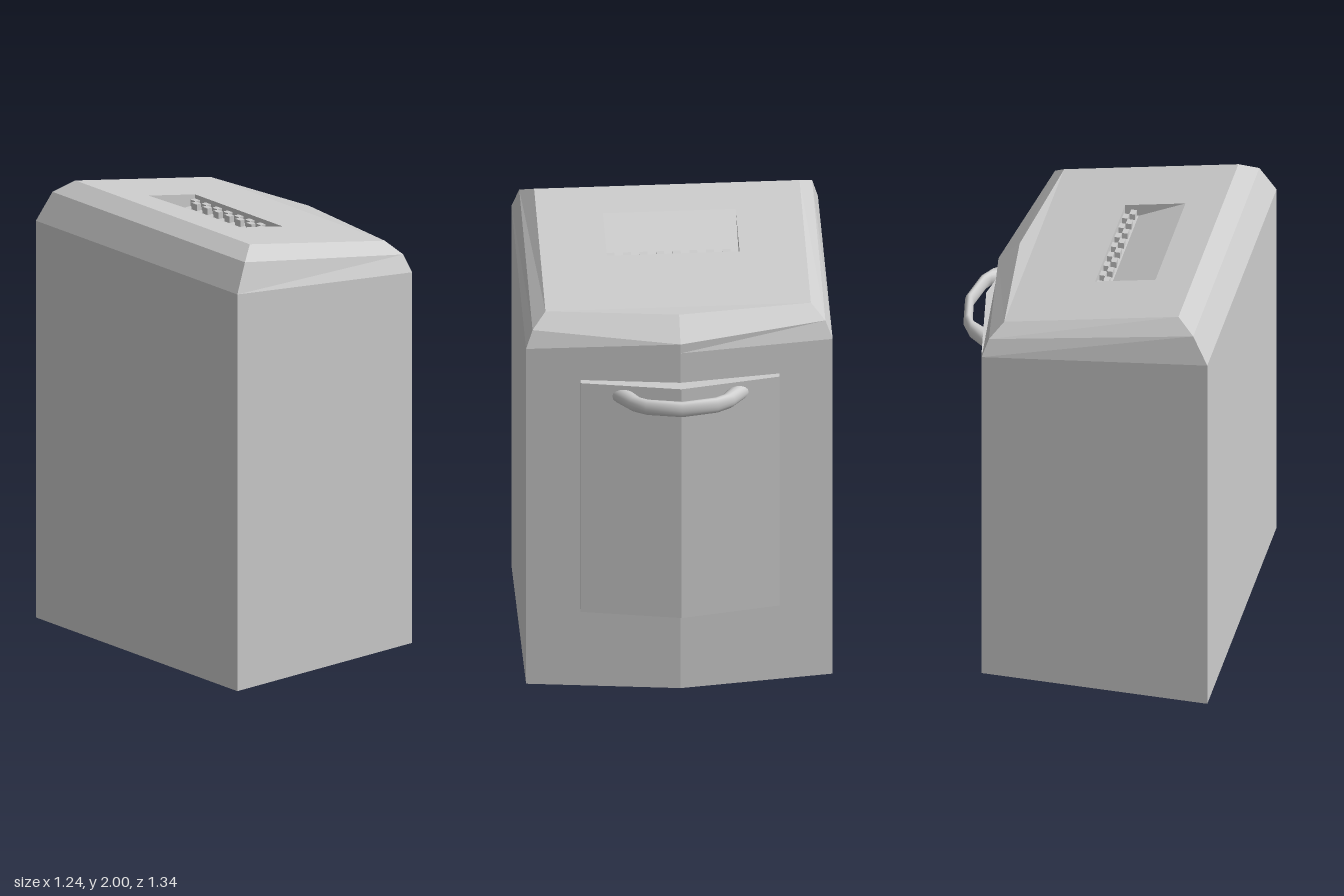
import * as THREE from 'three';

const grey = new THREE.MeshStandardMaterial({ color: 0xcccccc, flatShading: true, side: THREE.DoubleSide });
const smooth = new THREE.MeshStandardMaterial({ color: 0xcccccc, side: THREE.DoubleSide });

// Height of the sloping lid at a given x
const lidY = (x) => (x > 0.31 ? 1.845 : 2 - 0.1987 * (x + 0.47));

// Flat-shaded mesh from convex polygons, each a list of [x, y, z] corners
function polyMesh(name, polys) {
  const pos = [];
  for (const p of polys)
    for (let i = 1; i < p.length - 1; i++) pos.push(...p[0], ...p[i], ...p[i + 1]);
  const geo = new THREE.BufferGeometry();
  geo.setAttribute('position', new THREE.Float32BufferAttribute(pos, 3));
  geo.computeVertexNormals();
  const mesh = new THREE.Mesh(geo, grey);
  mesh.name = name;
  return mesh;
}

// Five-cornered ring: front corner, front middle, front corner, back, back
const ring = (fx, fy, mx, my, bx, by, z) => [
  [fx, fy, z], [mx, my, 0], [fx, fy, -z], [bx, by, -z], [bx, by, z],
];

function makeBody() {
  const rings = [
    ring(0.39, 0, 0.47, 0, -0.62, 0, 0.67),
    ring(0.39, 1.705, 0.47, 1.705, -0.62, 1.825, 0.67),
    ring(0.365, 1.785, 0.47, 1.75, -0.55, 1.95, 0.64),
    ring(0.31, 1.845, 0.375, 1.845, -0.47, 2, 0.58),
  ];
  const polys = [[...rings[0]].reverse()];
  for (let r = 0; r < rings.length - 1; r++)
    for (let i = 0; i < 5; i++) {
      const j = (i + 1) % 5;
      polys.push([rings[r][i], rings[r][j], rings[r + 1][j], rings[r + 1][i]]);
    }
  return polyMesh('body', polys);
}

// Paper slot extents
const slot = { x0: -0.3, xr: -0.09, x1: -0.03, z: 0.29, y: 1.865 };

function makeLid() {
  const pts = (a) => a.map(([x, y]) => new THREE.Vector2(x, y));
  const shape = new THREE.Shape(pts([[0.31, -0.58], [0.375, 0], [0.31, 0.58], [-0.47, 0.58], [-0.47, -0.58]]));
  const { x0, x1, z } = slot;
  shape.holes.push(new THREE.Path(pts([[x0, -z], [x0, z], [x1, z], [x1, -z]])));
  const geo = new THREE.ShapeGeometry(shape).rotateX(-Math.PI / 2);
  const p = geo.attributes.position;
  for (let i = 0; i < p.count; i++) p.setY(i, lidY(p.getX(i)));
  geo.computeVertexNormals();
  const lid = new THREE.Mesh(geo, grey);
  lid.name = 'lid';
  return lid;
}

function makeSlot() {
  const group = new THREE.Group();
  group.name = 'paperSlot';
  const { x0, xr, x1, z, y } = slot;
  // Wedge-shaped recess: ramp, floor, front wall and two ends
  const side = [[x0, lidY(x0)], [xr, y], [x1, y], [x1, lidY(x1)]];
  const at = (i, s) => [side[i][0], side[i][1], s * z];
  const polys = [0, 1, 2].map((i) => [at(i, 1), at(i + 1, 1), at(i + 1, -1), at(i, -1)]);
  polys.push([0, 3, 2, 1].map((i) => at(i, 1)), [0, 1, 2, 3].map((i) => at(i, -1)));
  group.add(polyMesh('recess', polys));
  // Interleaved cutter teeth
  const n = 16, w = (2 * z) / n;
  for (let i = 0; i < n; i++) {
    const tooth = new THREE.Mesh(new THREE.BoxGeometry(0.025, 0.03, w * 0.95), grey);
    tooth.name = 'cutterTooth';
    tooth.position.set(i % 2 ? -0.07 : -0.045, y + 0.015, -z + (i + 0.5) * w);
    group.add(tooth);
  }
  return group;
}

// Bent door panel, drawn in plan and extruded upwards
function makeDoor() {
  const plan = [[0.418, -0.435], [0.445, -0.435], [0.525, 0], [0.445, 0.435], [0.418, 0.435], [0.465, 0]];
  const shape = new THREE.Shape(plan.map(([x, z]) => new THREE.Vector2(x, z)));
  const geo = new THREE.ExtrudeGeometry(shape, { depth: 1.165, bevelEnabled: false }).rotateX(-Math.PI / 2);
  const door = new THREE.Mesh(geo, grey);
  door.name = 'doorPanel';
  door.position.y = 0.39;
  return door;
}

// Bowed handle: elliptical sections between outer and inner plan points
function makeHandle() {
  const half = [
    [0.462, 0.305, 0.48, 0.2],
    [0.545, 0.235, 0.54, 0.165],
    [0.59, 0.16, 0.553, 0.14],
  ];
  const mirror = half.map(([a, b, c, d]) => [a, -b, c, -d]).reverse();
  const sections = [...half, [0.62, 0, 0.58, 0], ...mirror];
  const sides = 16, pos = [], idx = [];
  sections.forEach(([ox, oz, ix, iz], s) => {
    for (let k = 0; k < sides; k++) {
      const a = (k / sides) * Math.PI * 2, t = (1 + Math.cos(a)) / 2;
      pos.push(ix + (ox - ix) * t, 1.4975 + 0.0375 * Math.sin(a), iz + (oz - iz) * t);
      if (s === sections.length - 1) continue;
      const p = s * sides + k, q = s * sides + ((k + 1) % sides);
      idx.push(p, p + sides, q, q, p + sides, q + sides);
    }
  });
  const geo = new THREE.BufferGeometry();
  geo.setAttribute('position', new THREE.Float32BufferAttribute(pos, 3));
  geo.setIndex(idx);
  geo.computeVertexNormals();
  const handle = new THREE.Mesh(geo, smooth);
  handle.name = 'handle';
  return handle;
}

export function createModel() {
  const model = new THREE.Group();
  model.name = 'paperShredder';
  model.add(makeBody(), makeLid(), makeSlot(), makeDoor(), makeHandle());
  return model;
}
